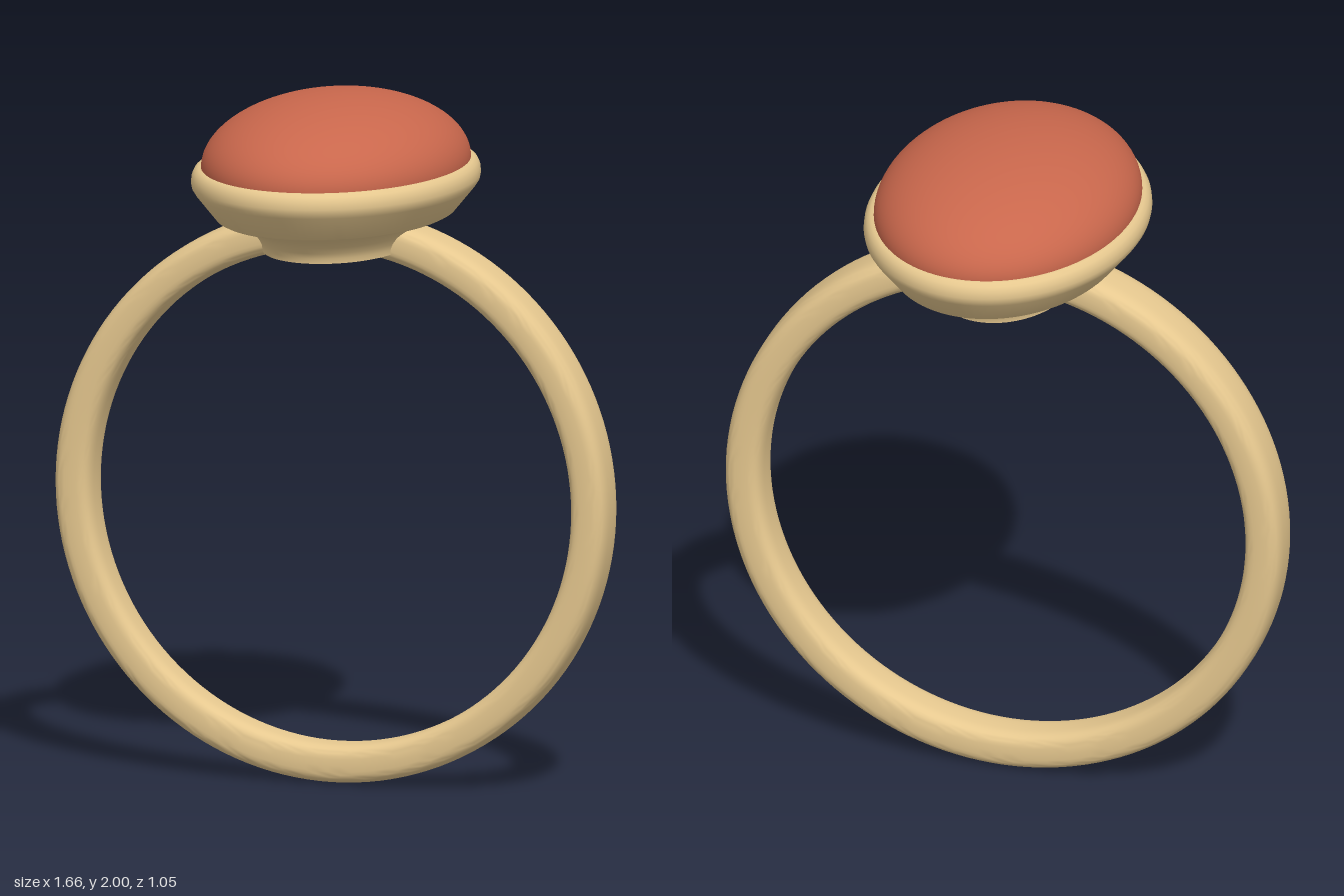
import * as THREE from 'three';
import { toCreasedNormals } from 'three/addons/utils/BufferGeometryUtils.js';

const gold = new THREE.MeshStandardMaterial({ color: 0xe6c88f });
const red = new THREE.MeshStandardMaterial({ color: 0xc9674c });

// Grid surface from point(i, j); faces look along (i direction) x (j direction)
function surface(point, nu, nv) {
  const positions = [], index = [];
  for (let i = 0; i <= nu; i++)
    for (let j = 0; j <= nv; j++) positions.push(...point(i, j));
  for (let i = 0; i < nu; i++)
    for (let j = 0; j < nv; j++) {
      const p = i * (nv + 1) + j, q = p + nv + 1;
      index.push(p, q, p + 1, q, q + 1, p + 1);
    }
  const geometry = new THREE.BufferGeometry();
  geometry.setAttribute('position', new THREE.Float32BufferAttribute(positions, 3));
  geometry.setIndex(index);
  return toCreasedNormals(geometry, 0.6);
}

// Stack of ellipses [x radius, z radius, height], listed from top to bottom
function ellipseLoft(rings, segments = 96) {
  return surface((i, j) => {
    const t = ((i % segments) / segments) * Math.PI * 2;
    const [a, b, y] = rings[j];
    return [a * Math.cos(t), y, b * Math.sin(t)];
  }, segments, rings.length - 1);
}

// Finger band: soft rectangular section, a little wider towards the top
function bandGeometry() {
  const nu = 144, nv = 40, radius = 0.775, halfThick = 0.056, centreY = 0.832;
  const soft = (c) => Math.sign(c) * Math.pow(Math.abs(c), 2 / 3.3);
  return surface((i, j) => {
    const u = ((i % nu) / nu) * Math.PI * 2;
    const v = ((j % nv) / nv) * Math.PI * 2;
    const r = radius + halfThick * soft(Math.cos(v));
    const halfWidth = 0.077 + 0.008 * Math.sin(u);
    return [r * Math.cos(u), centreY + r * Math.sin(u), halfWidth * soft(Math.sin(v))];
  }, nu, nv);
}

export function createModel() {
  const ring = new THREE.Group();
  ring.name = 'ring';
  const add = (name, geometry, material) => {
    const mesh = new THREE.Mesh(geometry, material);
    mesh.name = name;
    ring.add(mesh);
    return mesh;
  };

  add('band', bandGeometry(), gold);

  // Cup holding the stone
  add('bezel', ellipseLoft([
    [0, 0, 1.8], [0.37, 0.495, 1.8], [0.38, 0.505, 1.799], [0.391, 0.516, 1.79],
    [0.398, 0.523, 1.775], [0.4, 0.525, 1.756], [0.397, 0.522, 1.742],
    [0.388, 0.513, 1.728], [0.33, 0.457, 1.657], [0.32, 0.447, 1.652], [0, 0, 1.652],
  ]), gold);

  // Flared foot joining the cup to the band
  add('gallery', ellipseLoft([
    [0.31, 0.435, 1.653], [0.285, 0.402, 1.648], [0.26, 0.37, 1.637],
    [0.237, 0.338, 1.622], [0.219, 0.313, 1.605], [0.207, 0.297, 1.586],
    [0.201, 0.287, 1.57], [0.2, 0.285, 1.555], [0, 0, 1.555],
  ]), gold);

  // Domed oval stone
  const dome = new THREE.SphereGeometry(1, 96, 32, 0, Math.PI * 2, 0, Math.PI / 2);
  dome.scale(0.371, 0.2, 0.497);
  add('stone', dome, red).position.y = 1.8;

  return ring;
}
